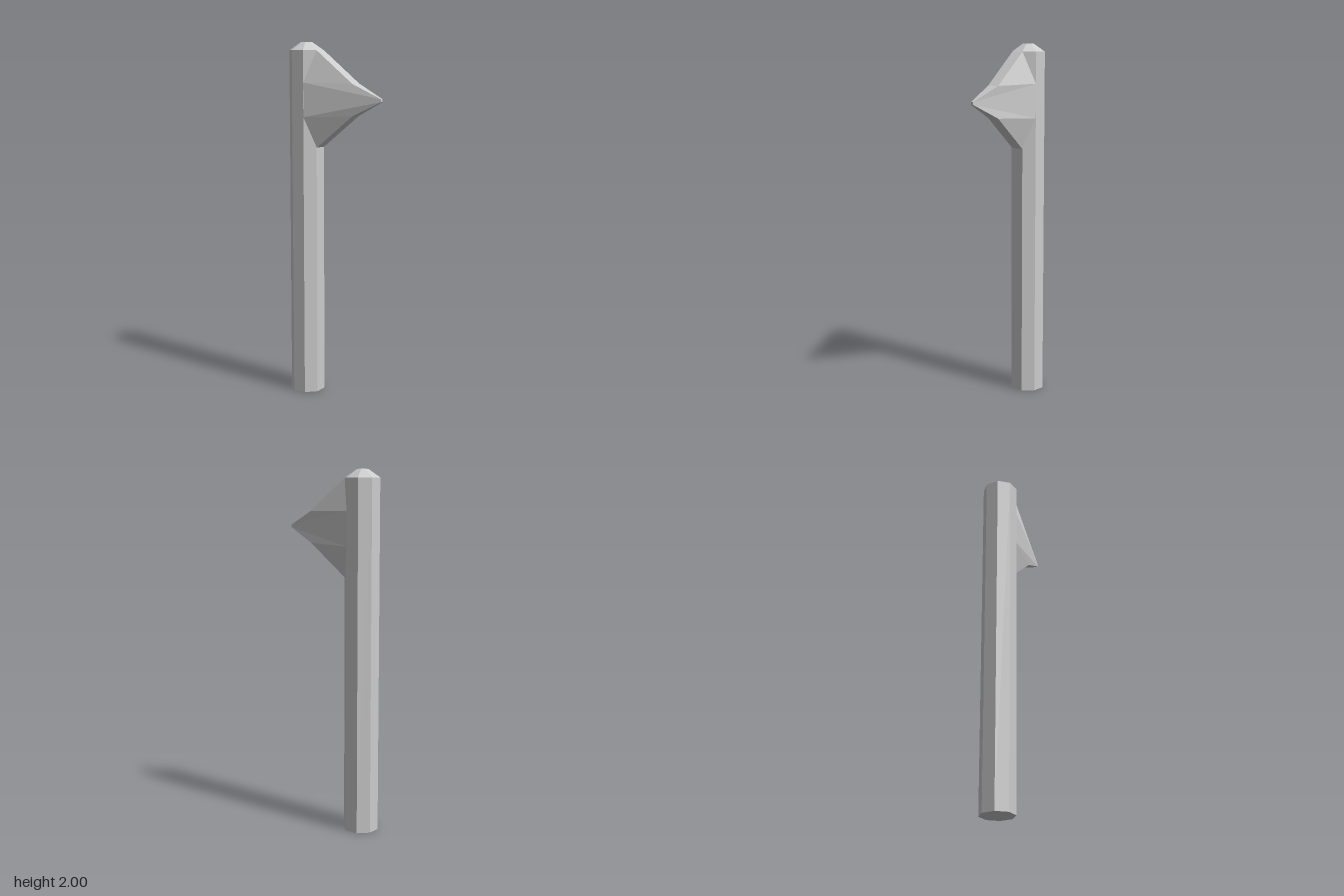
import * as THREE from 'three';

const material = () => new THREE.MeshStandardMaterial({ color: 0xcccccc, flatShading: true });

// Eight-sided section of the post, flats facing the axes
function octagon(name, topRadius, bottomRadius, y0, y1) {
  const geometry = new THREE.CylinderGeometry(topRadius, bottomRadius, y1 - y0, 8);
  geometry.rotateY(Math.PI / 8);
  const mesh = new THREE.Mesh(geometry, material());
  mesh.name = name;
  mesh.position.set(-0.192, (y0 + y1) / 2, -0.001);
  return mesh;
}

// Wedge-shaped blade: a front and a back outline joined by a rim
function createBlade() {
  // x, y, front z, back z: the rim from top root round the tip to bottom root, then two side roots
  const points = [
    [-0.101, 1.955, 0.036, -0.038],
    [0.117, 1.775, 0.017, -0.057],
    [0.281, 1.695, -0.013, -0.028],
    [0.281, 1.68, -0.013, -0.028],
    [0.117, 1.6, 0.017, -0.057],
    [-0.101, 1.42, 0.036, -0.038],
    [-0.154, 1.59, 0.089, -0.091],
    [-0.154, 1.78, 0.089, -0.091],
  ];
  const count = points.length;
  const positions = [
    ...points.flatMap(([x, y, front]) => [x, y, front]),
    ...points.flatMap(([x, y, , back]) => [x, y, back]),
  ];
  const index = [];
  // Side faces, mirrored in winding for the back
  const side = [[7, 1, 0], [7, 2, 1], [7, 3, 2], [7, 6, 3], [6, 4, 3], [6, 5, 4]];
  for (const [a, b, c] of side) index.push(a, b, c, a + count, c + count, b + count);
  // Narrow rim along the top, tip and underside
  for (let i = 0; i < 5; i++) {
    const j = i + 1;
    index.push(i, j, j + count, i, j + count, i + count);
  }
  const geometry = new THREE.BufferGeometry();
  geometry.setAttribute('position', new THREE.Float32BufferAttribute(positions, 3));
  geometry.setIndex(index);
  const flat = geometry.toNonIndexed();
  flat.computeVertexNormals();
  const mesh = new THREE.Mesh(flat, material());
  mesh.name = 'blade';
  return mesh;
}

export function createModel() {
  const model = new THREE.Group();
  model.name = 'bladedPost';
  model.add(
    octagon('shaft', 0.0975, 0.0975, 0, 1.955),
    octagon('bevelledCap', 0.031, 0.0975, 1.955, 2),
    createBlade(),
  );
  return model;
}
